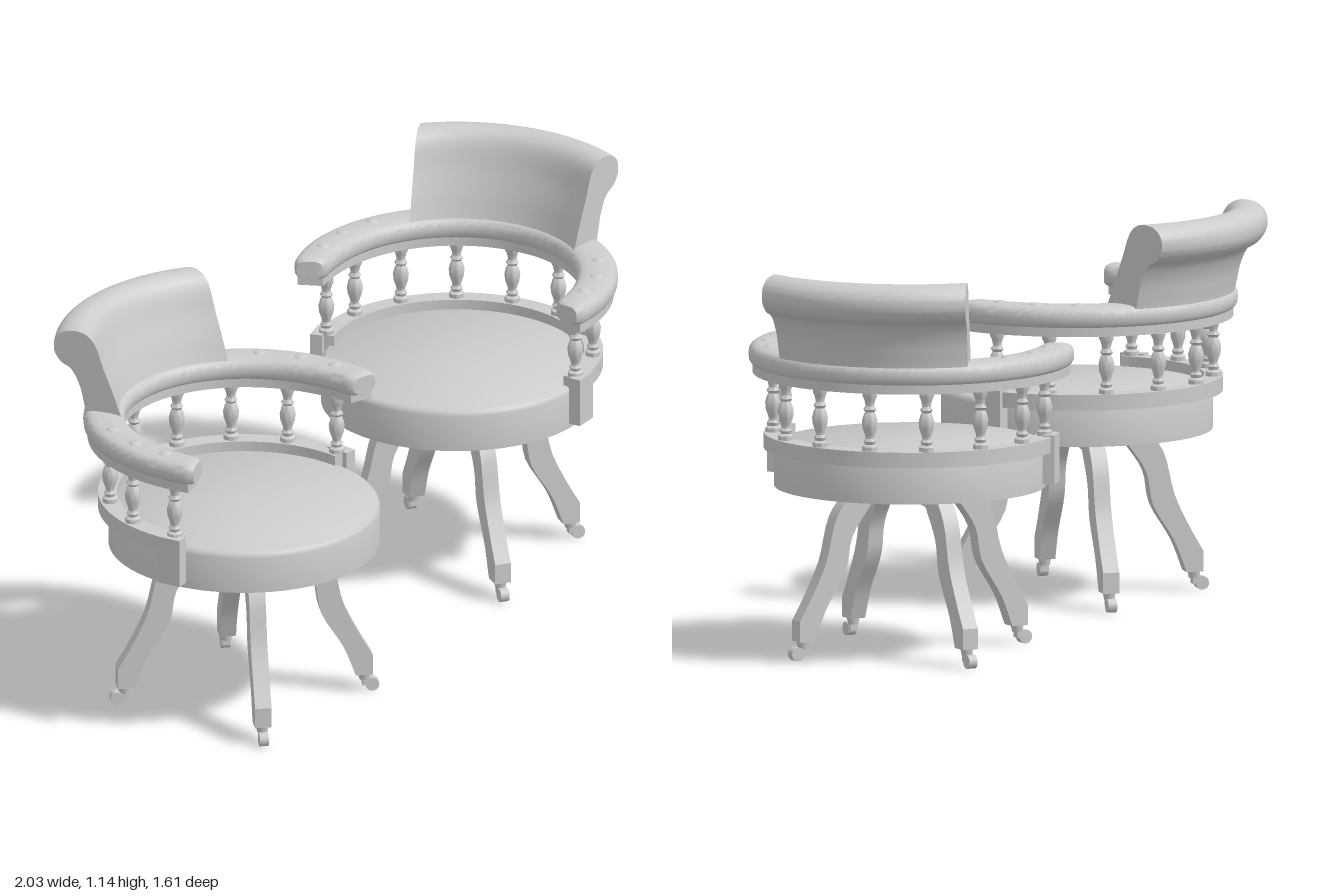
import * as THREE from 'three';
import { toCreasedNormals } from 'three/addons/utils/BufferGeometryUtils.js';

const grey = new THREE.MeshStandardMaterial({ color: 0xcccccc });
const rad = THREE.MathUtils.degToRad;

function add(parent, name, geometry, x = 0, y = 0, z = 0) {
  const mesh = new THREE.Mesh(geometry, grey);
  mesh.name = name;
  mesh.position.set(x, y, z);
  parent.add(mesh);
  return mesh;
}

// Smooth 2D curve through points
function smooth(points, n, closed = false) {
  const curve = new THREE.CatmullRomCurve3(points.map(([x, y]) => new THREE.Vector3(x, y, 0)), closed);
  const out = curve.getPoints(n).map((p) => new THREE.Vector2(p.x, p.y));
  if (closed) out.pop();
  return out;
}

// Sweep a counter-clockwise (radius, height) section round the seat.
// t runs from -1 to 1; angle 0 is the middle of the back.
function sweepArc(section, angleAt, steps, crease) {
  const pos = [], index = [];
  const m = section(-1).length;
  for (let i = 0; i <= steps; i++) {
    const t = -1 + (2 * i) / steps;
    for (const p of section(t)) {
      const a = angleAt(t, p.x);
      pos.push(p.x * Math.sin(a), p.y, -p.x * Math.cos(a));
    }
  }
  for (let i = 0; i < steps; i++) {
    for (let j = 0; j < m; j++) {
      const a = i * m + j, b = i * m + ((j + 1) % m);
      index.push(a, b, a + m, b, b + m, a + m);
    }
  }
  for (const [a, b, c] of THREE.ShapeUtils.triangulateShape(section(-1), [])) index.push(a, c, b);
  const end = steps * m;
  for (const [a, b, c] of THREE.ShapeUtils.triangulateShape(section(1), [])) index.push(end + a, end + b, end + c);
  const g = new THREE.BufferGeometry();
  g.setAttribute('position', new THREE.Float32BufferAttribute(pos, 3));
  g.setIndex(index);
  return toCreasedNormals(g, rad(crease));
}

const rect = (r0, r1, y0, y1) => [[r0, y0], [r1, y0], [r1, y1], [r0, y1]].map(([r, y]) => new THREE.Vector2(r, y));

// Arm centre line and half width: the tips swing out and narrow a little
const armMid = (t) => 0.402 + 0.022 * Math.abs(t) ** 5;
const armHalf = (t) => 0.06 - 0.011 * Math.abs(t) ** 5;

function padSection(t) {
  const shrink = 1 - 0.22 * Math.max(0, (Math.abs(t) - 0.97) / 0.03) ** 2;
  const w = armHalf(t) * shrink, h = 0.034 * shrink, out = [];
  for (let k = 0; k < 20; k++) {
    const a = (k / 20) * Math.PI * 2, c = Math.cos(a), s = Math.sin(a);
    out.push(new THREE.Vector2(
      armMid(t) + w * Math.sign(c) * Math.abs(c) ** 0.6,
      0.866 + h * Math.sign(s) * Math.abs(s) ** 0.7));
  }
  return out;
}

// Scrolled backrest section, rolled over outward at the top
const backSection = smooth([
  [0.352, 0.84], [0.44, 0.845], [0.458, 0.91], [0.472, 0.97], [0.497, 1.018], [0.525, 1.035],
  [0.545, 1.065], [0.543, 1.105], [0.518, 1.13], [0.47, 1.136], [0.437, 1.115], [0.405, 1.03], [0.37, 0.93],
], 60, true);

const spindleProfile = [
  [0, 0], [0.022, 0], [0.022, 0.012], [0.014, 0.018], [0.018, 0.027], [0.012, 0.035], [0.014, 0.045],
  [0.021, 0.065], [0.023, 0.085], [0.018, 0.104], [0.013, 0.112], [0.019, 0.12], [0.012, 0.13],
  [0.016, 0.148], [0.021, 0.158], [0.021, 0.175], [0, 0.175],
].map(([r, y]) => new THREE.Vector2(r, y));

function makeLeg() {
  const leg = new THREE.Group();
  leg.name = 'leg';
  const outer = smooth([[0.19, 0.49], [0.25, 0.41], [0.285, 0.28], [0.33, 0.185], [0.37, 0.115]], 16);
  const inner = smooth([[0.32, 0.055], [0.285, 0.145], [0.22, 0.255], [0.2, 0.35], [0.14, 0.44]], 16);
  const shape = new THREE.Shape([
    ...outer, new THREE.Vector2(0.37, 0.055), ...inner,
    new THREE.Vector2(0.08, 0.447), new THREE.Vector2(0.08, 0.49)]);
  const g = new THREE.ExtrudeGeometry(shape, { depth: 0.048, bevelEnabled: false });
  g.translate(0, 0, -0.024);
  add(leg, 'cabrioleLeg', toCreasedNormals(g, rad(30)));
  // Caster
  add(leg, 'casterSocket', new THREE.CylinderGeometry(0.019, 0.015, 0.022, 16), 0.348, 0.046, 0);
  add(leg, 'casterFork', new THREE.BoxGeometry(0.028, 0.02, 0.024), 0.356, 0.028, 0);
  add(leg, 'casterWheel', new THREE.CylinderGeometry(0.02, 0.02, 0.026, 20), 0.37, 0.02, 0).rotation.x = Math.PI / 2;
  return leg;
}

function makeChair(x, z, yaw) {
  const chair = new THREE.Group();
  chair.name = 'swivelChair';
  chair.position.set(x, 0, z);
  chair.rotation.y = rad(yaw);

  // Round seat with a softened top edge
  const seat = [[0, 0.485], [0.39, 0.485], [0.39, 0.592], [0.386, 0.603], [0.376, 0.61], [0, 0.612]];
  add(chair, 'seat', toCreasedNormals(
    new THREE.LatheGeometry(seat.map(([r, y]) => new THREE.Vector2(r, y)), 72), rad(40)));

  // Lower rail and its end blocks
  add(chair, 'lowerRail', sweepArc(() => rect(0.365, 0.42, 0.595, 0.64), (t) => t * rad(99), 64, 30));
  for (const side of [-1, 1]) {
    const a = side * rad(96);
    const block = add(chair, 'railEndBlock', new THREE.BoxGeometry(0.074, 0.142, 0.036),
      0.412 * Math.sin(a), 0.574, -0.412 * Math.cos(a));
    block.rotation.y = -a;
  }

  // Turned spindles
  const spindle = toCreasedNormals(new THREE.LatheGeometry(spindleProfile, 18), rad(50));
  for (let i = -4; i <= 4; i++) {
    const a = i * rad(24);
    add(chair, 'spindle', spindle, 0.393 * Math.sin(a), 0.64, -0.393 * Math.cos(a));
  }

  // Arm board, padded arm and buttons
  add(chair, 'armBoard', sweepArc(
    (t) => rect(armMid(t) - armHalf(t) + 0.012, armMid(t) + armHalf(t) - 0.012, 0.813, 0.842),
    (t) => t * rad(106), 72, 30));
  add(chair, 'armPad', sweepArc(padSection, (t) => t * rad(108), 144, 50));
  for (const side of [-1, 1]) {
    for (const deg of [60, 77, 93]) {
      const a = side * rad(deg);
      add(chair, 'armButton', new THREE.SphereGeometry(0.02, 16, 10),
        0.41 * Math.sin(a), 0.897, -0.41 * Math.cos(a)).scale.y = 0.4;
    }
  }

  // Scrolled backrest, slightly wider at the roll
  const halfAngle = (r) => Math.asin((0.26 + 0.25 * (r - 0.365)) / r);
  add(chair, 'backrest', sweepArc(() => backSection, (t, r) => t * halfAngle(r), 48, 45));

  // Four legs
  for (let i = 0; i < 4; i++) {
    const leg = makeLeg();
    leg.rotation.y = rad(45 + 90 * i);
    chair.add(leg);
  }
  return chair;
}

export function createModel() {
  const model = new THREE.Group();
  model.name = 'pairOfSwivelChairs';
  model.add(makeChair(-0.533, 0.408, 28.5), makeChair(0.465, -0.288, -49));
  return model;
}
